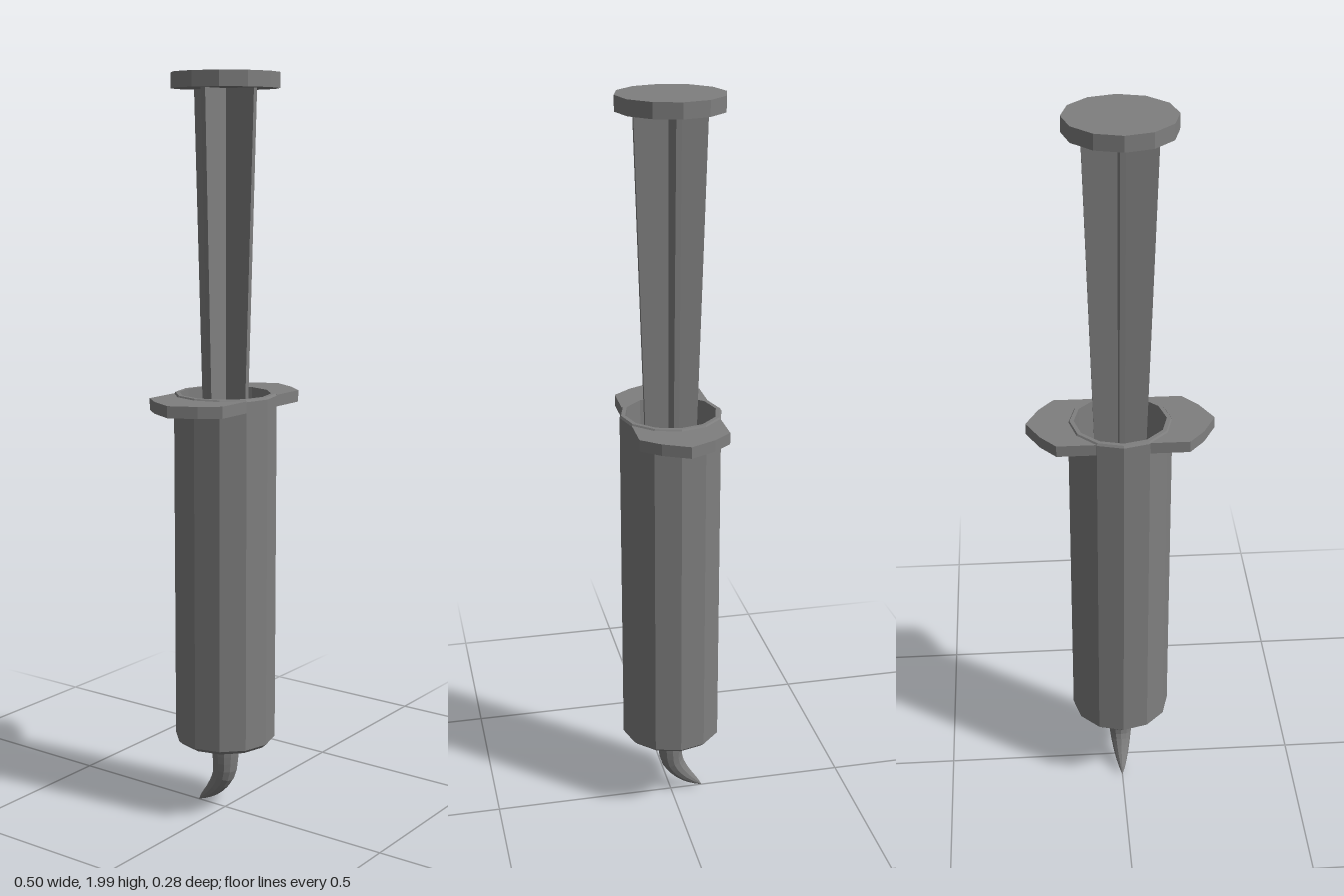
import * as THREE from 'three';

export function createModel() {
  const model = new THREE.Group();
  const grey = new THREE.MeshStandardMaterial({ color: 0x7f7f7f });
  grey.name = 'grey plastic';
  grey.flatShading = true;

  const add = (name, geometry, parent = model) => {
    const mesh = new THREE.Mesh(geometry, grey);
    mesh.name = name;
    parent.add(mesh);
    return mesh;
  };
  const shapeOf = (points) => new THREE.Shape(points.map(([x, y]) => new THREE.Vector2(x, y)));

  // Hollow twelve-sided barrel: outside from the bottom up, then down the bore
  const profile = [[0, 0.195], [0.04, 0.198], [0.125, 0.209], [0.137, 0.22], [0.137, 1.168],
    [0.133, 1.174], [0.122, 1.174], [0.122, 0.24], [0, 0.24]];
  add('barrel', new THREE.LatheGeometry(profile.map(([r, y]) => new THREE.Vector2(r, y)), 12));

  // Finger grips fitted against the barrel wall
  const wing = [[0.0685, -0.118], [0.172, -0.118], [0.213, -0.069], [0.248, 0], [0.213, 0.069],
    [0.172, 0.118], [0.0685, 0.118], [0.118, 0.068], [0.136, 0], [0.118, -0.068]];
  for (const side of [1, -1]) {
    const geometry = new THREE.ExtrudeGeometry(shapeOf(wing), { depth: 0.031, bevelEnabled: false });
    geometry.rotateX(-Math.PI / 2);
    if (side < 0) geometry.rotateY(Math.PI);
    geometry.translate(0, 1.139, 0);
    add(side > 0 ? 'leftFingerGrip' : 'rightFingerGrip', geometry);
  }

  // Plunger: two crossed tapering blades, thumb disc and stopper
  const plunger = new THREE.Group();
  plunger.name = 'plunger';
  model.add(plunger);
  const blade = [[-0.046, 0.36], [0.046, 0.36], [0.095, 1.965], [-0.095, 1.965]];
  for (const turn of [0, Math.PI / 2]) {
    const geometry = new THREE.ExtrudeGeometry(shapeOf(blade), { depth: 0.014, bevelEnabled: false });
    geometry.translate(0, 0, -0.007);
    geometry.rotateY(turn);
    add(turn ? 'plungerSideBlade' : 'plungerFrontBlade', geometry, plunger);
  }
  add('thumbDisc', new THREE.CylinderGeometry(0.141, 0.141, 0.04, 12), plunger).position.y = 1.98;
  add('stopper', new THREE.CylinderGeometry(0.12, 0.12, 0.08, 12), plunger).position.y = 0.32;

  // Curved nozzle: a tube whose rings shrink to a point
  const path = new THREE.CatmullRomCurve3([[0.23, 0.002], [0.16, 0.001], [0.105, -0.004],
    [0.06, -0.032], [0.006, -0.092]].map(([y, z]) => new THREE.Vector3(0, y, z)));
  const segments = 12;
  const sides = 12;
  const nozzle = new THREE.TubeGeometry(path, segments, 1, sides);
  const position = nozzle.attributes.position;
  const point = new THREE.Vector3();
  for (let i = 0; i <= segments; i++) {
    const t = i / segments;
    const centre = path.getPointAt(t);
    const radius = 0.038 * Math.pow(1 - Math.pow(t, 2.2), 0.85);
    for (let j = 0; j <= sides; j++) {
      const k = i * (sides + 1) + j;
      point.fromBufferAttribute(position, k).sub(centre).multiplyScalar(radius).add(centre);
      position.setXYZ(k, point.x, Math.max(0, point.y), point.z);
    }
  }
  nozzle.computeVertexNormals();
  add('nozzle', nozzle);

  return model;
}
